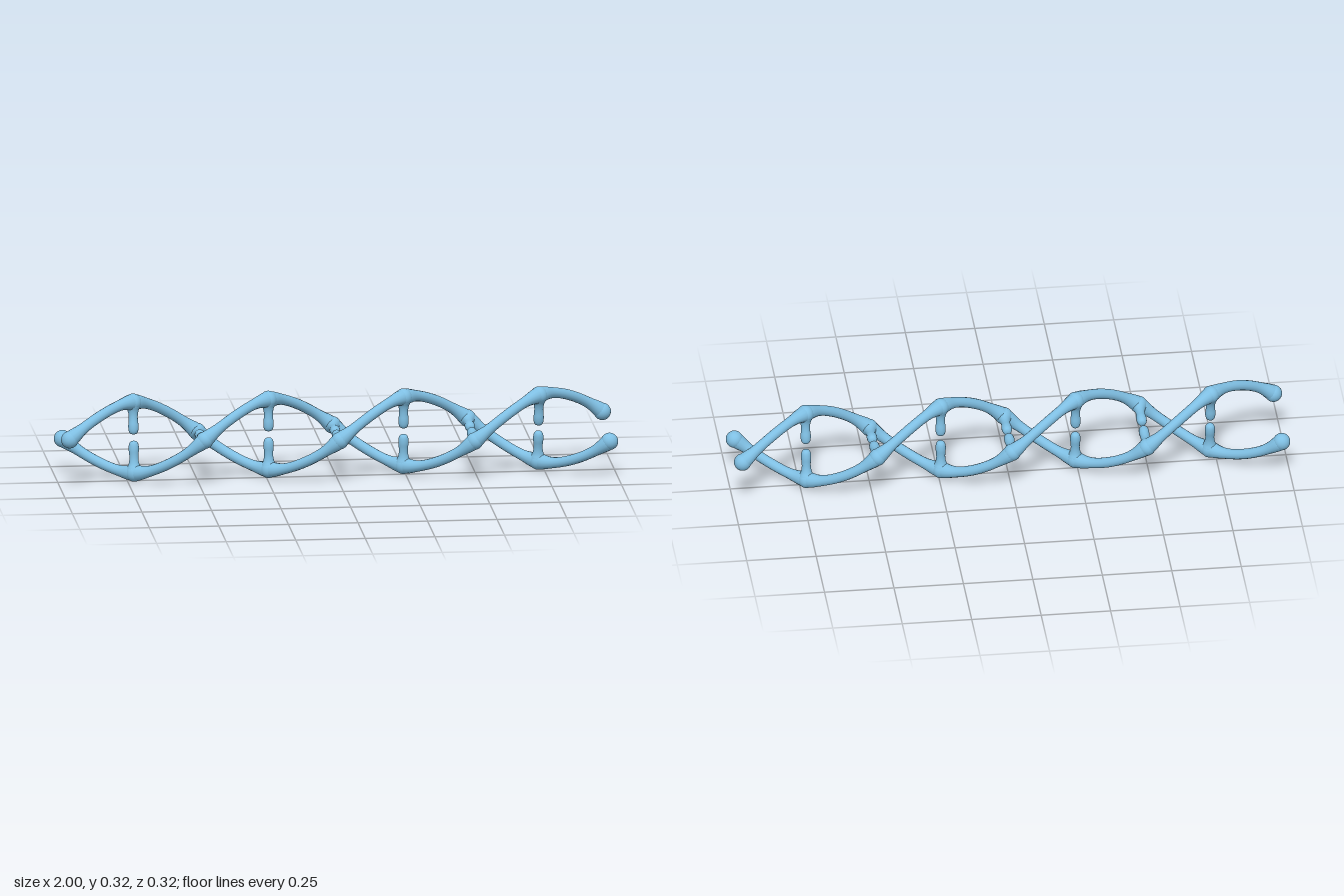
import * as THREE from 'three';
import { mergeVertices } from 'three/addons/utils/BufferGeometryUtils.js';

const STEP = 0.2425;                       // distance between nodes along x
const TURN = THREE.MathUtils.degToRad(87); // twist between nodes
const CENTER_Y = 0.158;
const RADIUS = 0.127;
const ENDS = 4;                            // nodes run from -ENDS to ENDS

const angleAt = (x, phase) => phase - Math.PI / 2 - (x / STEP) * TURN;

// Helix along x, drawn in slightly between nodes
class Helix extends THREE.Curve {
  constructor(phase) {
    super();
    this.phase = phase;
    this.arcLengthDivisions = 600;
  }
  getPoint(t, target = new THREE.Vector3()) {
    const x = (t * 2 - 1) * ENDS * STEP;
    const a = angleAt(x, this.phase);
    const r = RADIUS - 0.004 * Math.sin((Math.PI * x) / STEP) ** 2;
    return target.set(x, r * Math.cos(a), r * Math.sin(a));
  }
}

// Tube that swells towards every node
function strandGeometry(path) {
  const rings = 320, sides = 14, base = 0.0185;
  const tube = new THREE.TubeGeometry(path, rings, base, sides, false);
  const pos = tube.attributes.position;
  const v = new THREE.Vector3();
  for (let i = 0; i <= rings; i++) {
    const c = path.getPointAt(i / rings);
    const d = c.x - Math.round(c.x / STEP) * STEP;
    const r = base + 0.0105 * Math.exp(-((d / 0.036) ** 2));
    for (let j = 0; j <= sides; j++) {
      const k = i * (sides + 1) + j;
      v.fromBufferAttribute(pos, k).sub(c).multiplyScalar(r / base).add(c);
      pos.setXYZ(k, v.x, v.y, v.z);
    }
  }
  tube.deleteAttribute('uv');
  tube.deleteAttribute('normal');
  const smooth = mergeVertices(tube, 1e-5);
  smooth.computeVertexNormals();
  return smooth;
}

// Half rung: rounded inner tip, narrow neck, flare into the strand
function rungGeometry() {
  const profile = new THREE.SplineCurve([
    [0, 0.011], [0.011, 0.014], [0.017, 0.024], [0.0185, 0.042], [0.0165, 0.062],
    [0.0165, 0.08], [0.02, 0.097], [0.027, 0.112], [0.03, 0.127],
  ].map(([r, y]) => new THREE.Vector2(r, y)));
  const points = profile.getPoints(32);
  points.forEach((p) => { p.x = Math.max(p.x, 0); });
  return new THREE.LatheGeometry(points, 20);
}

export function createModel() {
  const model = new THREE.Group();
  model.name = 'doubleHelix';
  const material = new THREE.MeshStandardMaterial({ color: 0x7fbfe3 });
  const rung = rungGeometry();
  const knob = new THREE.SphereGeometry(0.031, 24, 16);

  const add = (parent, geometry, name) => {
    const mesh = new THREE.Mesh(geometry, material);
    mesh.name = name;
    parent.add(mesh);
    return mesh;
  };

  ['first', 'second'].forEach((label, s) => {
    const phase = s * Math.PI;
    const half = new THREE.Group();
    half.name = label + 'Half';
    half.position.y = CENTER_Y;
    model.add(half);
    add(half, strandGeometry(new Helix(phase)), 'strand');

    for (let k = -ENDS; k <= ENDS; k++) {
      const x = k * STEP;
      const a = angleAt(x, phase);
      const isEnd = Math.abs(k) === ENDS;
      // Rounded knob at each node and strand end
      const ball = add(half, knob, isEnd ? 'endKnob' : 'nodeKnob');
      ball.position.set(x, RADIUS * Math.cos(a), RADIUS * Math.sin(a));
      // Half rung reaching in towards the axis
      if (!isEnd) {
        const bar = add(half, rung, 'halfRung');
        bar.position.x = x;
        bar.rotation.x = a;
      }
    }
  });
  return model;
}
